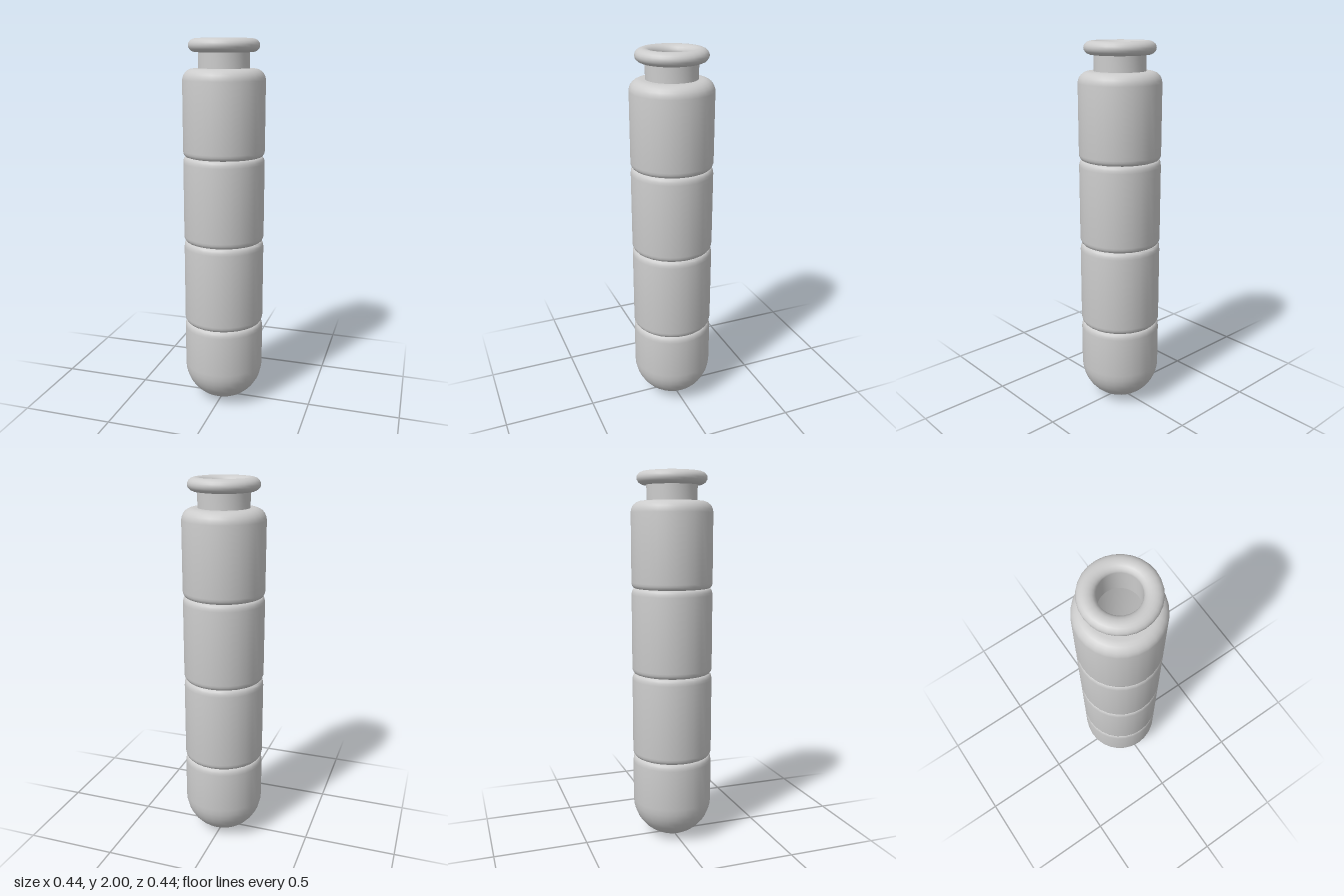
import * as THREE from 'three';
import { toCreasedNormals } from 'three/addons/utils/BufferGeometryUtils.js';

const SIDES = 28;
const R = 0.218; // body radius
const GROOVE = 0.2; // radius at the joints

export function createModel() {
  const model = new THREE.Group();
  const material = new THREE.MeshStandardMaterial({ color: 0xcccccc, side: THREE.DoubleSide });

  // Revolve a profile of [radius, height] pairs
  const turn = (name, profile) => {
    const points = profile.map(([r, y]) => new THREE.Vector2(r, y));
    const geometry = toCreasedNormals(new THREE.LatheGeometry(points, SIDES), 0.75);
    const mesh = new THREE.Mesh(geometry, material);
    mesh.name = name;
    model.add(mesh);
  };

  // Points on an elliptical arc, angles in quarter turns
  const arc = (r, y, rr, ry, from, to, steps) =>
    Array.from({ length: steps + 1 }, (_, i) => {
      const a = (from + ((to - from) * i) / steps) * Math.PI / 2;
      return [Math.max(0, r + rr * Math.cos(a)), y + ry * Math.sin(a)];
    });

  const bead = R - GROOVE;
  const shoulderIn = (y) => arc(GROOVE, y - 0.035, bead, 0.035, 0, 1, 4); // rounds in to a joint
  const swellOut = (y) => arc(GROOVE, y + 0.03, bead, 0.03, -1, 0, 4); // rounds out from a joint
  const joints = [0.465, 0.932, 1.395];

  // Rounded bottom section
  turn('bottomSection', [...arc(0, 0.21, R, 0.21, -1, 0, 10), ...shoulderIn(joints[0])]);

  // Two middle sections
  for (let i = 0; i < 2; i++) {
    turn(`middleSection${i + 1}`, [...swellOut(joints[i]), ...shoulderIn(joints[i + 1])]);
  }

  // Top section with a broader shoulder running in to the neck
  turn('topSection', [...swellOut(joints[2]), ...arc(0.158, 1.79, 0.06, 0.06, 0, 1, 6), [0.135, 1.85]]);

  // Neck
  turn('neck', [[0.135, 1.85], [0.135, 1.94]]);

  // Rolled lip
  turn('lip', arc(0.143, 1.965, 0.043, 0.035, -2, 2, 20));

  // Hollow inside: neck bore, wall and bowl-shaped floor
  turn('innerWall', [
    [0.1, 1.965], [0.1, 1.83],
    ...arc(0.15, 1.78, 0.04, 0.04, 1, 0, 4),
    ...arc(0, 0.21, 0.19, 0.18, 0, -1, 10),
  ]);

  return model;
}
